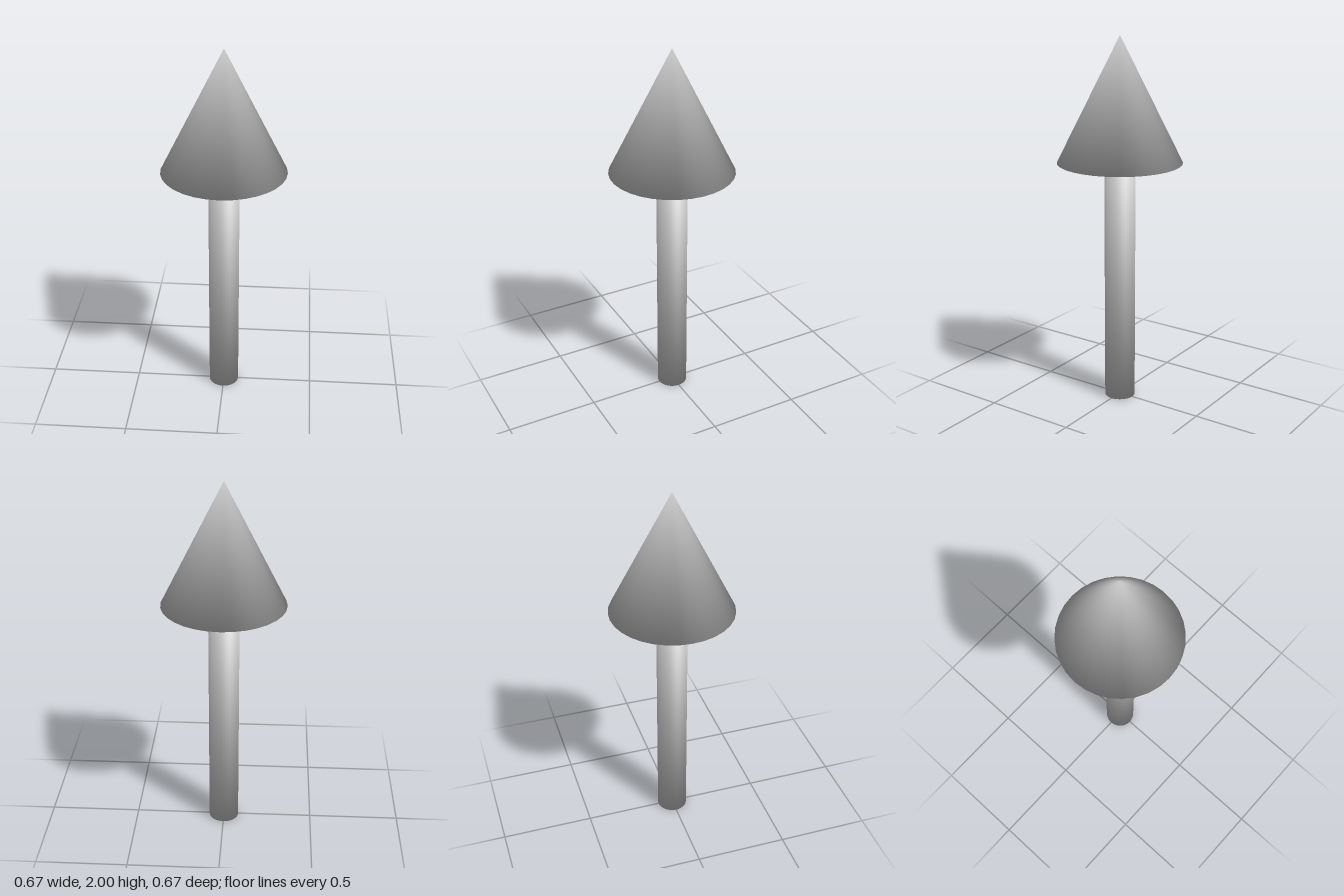
import * as THREE from 'three';

const SIDES = 32;

// Closed round solid whose smooth normals run on across the rims into flat end caps.
function roundSolid(bottomRadius, topRadius, bottomY, topY) {
  const positions = [], normals = [], indices = [];
  const slope = new THREE.Vector2(topY - bottomY, bottomRadius - topRadius).normalize();

  // One ring of corners per end; a ring of radius 0 is a point
  const addRing = (radius, y, capY) => {
    const n = radius > 0
      ? new THREE.Vector2(slope.x, slope.y + capY).normalize()
      : new THREE.Vector2(0, capY);
    for (let i = 0; i < SIDES; i++) {
      const a = (i / SIDES) * Math.PI * 2;
      const s = Math.sin(a), c = Math.cos(a);
      positions.push(radius * s, y, radius * c);
      normals.push(n.x * s, n.y, n.x * c);
    }
  };
  addRing(bottomRadius, bottomY, -1);
  addRing(topRadius, topY, 1);

  // Sides
  for (let i = 0; i < SIDES; i++) {
    const j = (i + 1) % SIDES;
    indices.push(i, j, SIDES + i);
    if (topRadius > 0) indices.push(j, SIDES + j, SIDES + i);
  }
  // Flat caps
  for (let i = 1; i < SIDES - 1; i++) {
    indices.push(0, i + 1, i);
    if (topRadius > 0) indices.push(SIDES, SIDES + i, SIDES + i + 1);
  }

  const geometry = new THREE.BufferGeometry();
  geometry.setAttribute('position', new THREE.Float32BufferAttribute(positions, 3));
  geometry.setAttribute('normal', new THREE.Float32BufferAttribute(normals, 3));
  geometry.setIndex(indices);
  return geometry;
}

export function createModel() {
  const model = new THREE.Group();
  model.name = 'arrow';
  const material = new THREE.MeshStandardMaterial({ color: 0xcccccc });

  const addPart = (name, geometry) => {
    const mesh = new THREE.Mesh(geometry, material);
    mesh.name = name;
    model.add(mesh);
  };

  addPart('shaft', roundSolid(0.083, 0.083, 0, 1.335));
  addPart('arrowhead', roundSolid(0.333, 0, 1.335, 2));
  return model;
}
